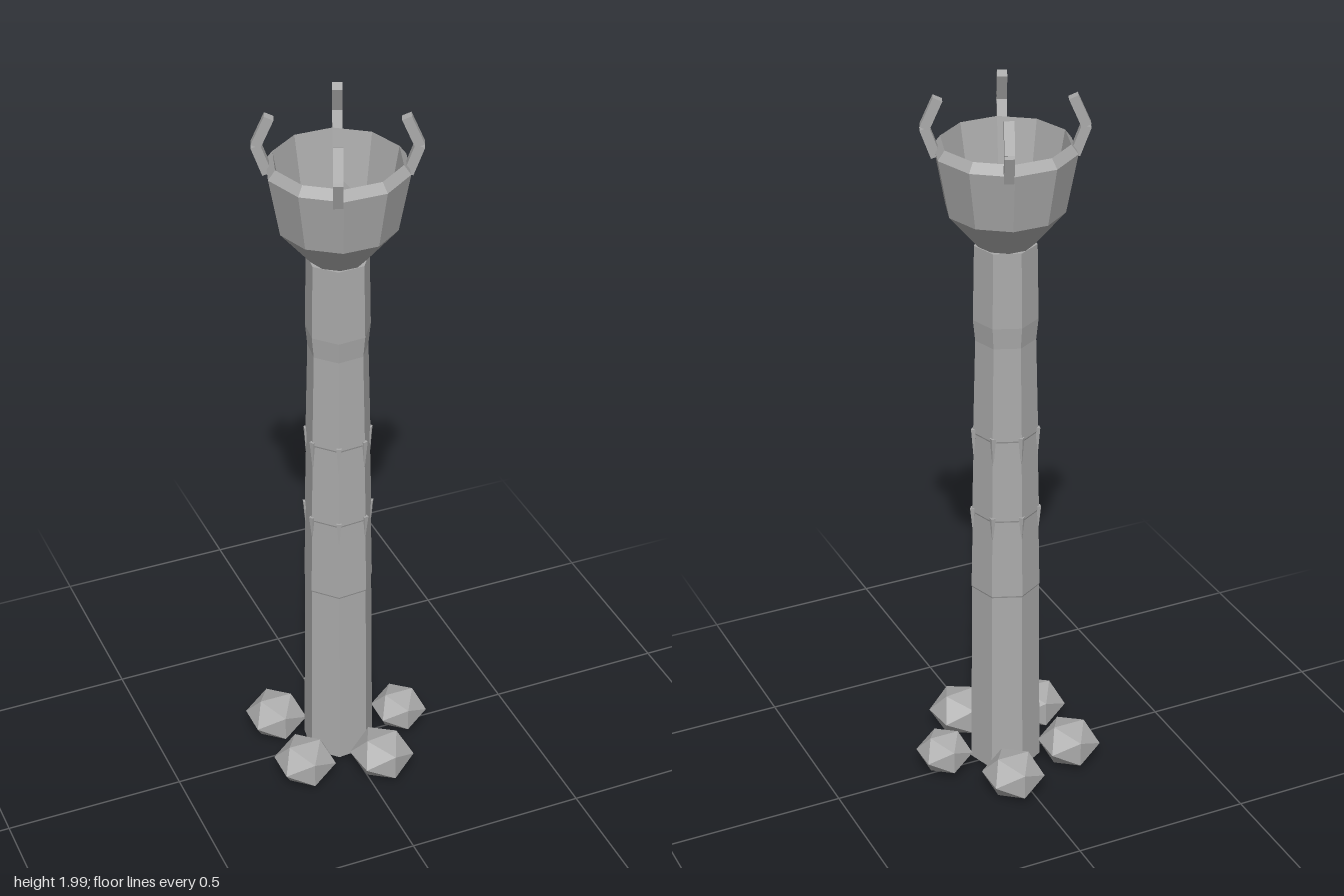
import * as THREE from 'three';

const CX = -0.012; // axis of the tower

// Faceted solid of revolution from [radius, height] points
function turned(points, sides, start) {
  const profile = points.map(([r, y]) => new THREE.Vector2(r, y));
  return new THREE.LatheGeometry(profile, sides, start).toNonIndexed();
}

// Square bar between two points
function bar(a, b, width) {
  const length = a.distanceTo(b);
  const g = new THREE.BoxGeometry(width, length, width);
  const up = new THREE.Vector3(0, 1, 0);
  g.applyQuaternion(new THREE.Quaternion().setFromUnitVectors(up, b.clone().sub(a).normalize()));
  const mid = a.clone().add(b).multiplyScalar(0.5);
  return g.translate(mid.x, mid.y, mid.z);
}

export function createModel() {
  const model = new THREE.Group();
  const stone = new THREE.MeshStandardMaterial({ color: 0xaaaaaa, flatShading: true });
  stone.name = 'stone';

  const add = (name, geometry, parent = model) => {
    geometry.computeVertexNormals();
    const mesh = new THREE.Mesh(geometry, stone);
    mesh.name = name;
    parent.add(mesh);
    return mesh;
  };

  const tower = new THREE.Group();
  tower.name = 'tower';
  tower.position.x = CX;
  model.add(tower);

  // Seven-sided shaft with slight steps between courses
  const sides = 7, phase = Math.PI / 6;
  add('shaft', turned([
    [0, 0.02], [0.1, 0.02], [0.094, 0.58], [0.096, 0.585], [0.091, 0.815], [0.093, 0.82],
    [0.087, 1.055], [0.089, 1.06], [0.082, 1.33], [0.088, 1.39], [0.084, 1.6], [0, 1.6],
  ], sides, phase), tower);

  // Thin drips hanging from two courses at the shaft corners
  for (const [y, r, length] of [[1.07, 0.09, 0.1], [0.83, 0.094, 0.08]]) {
    for (let i = 0; i < sides; i++) {
      const a = phase + (i / sides) * Math.PI * 2;
      const drip = add('drip', new THREE.ConeGeometry(0.009, length, 4), tower);
      drip.rotation.set(Math.PI, a, 0);
      drip.position.set(Math.sin(a) * (r - 0.003), y - length / 2, Math.cos(a) * (r - 0.003));
    }
  }

  // Ten-sided fire bowl with bevelled lip and hollow inside
  add('bowl', turned([
    [0, 1.6], [0.076, 1.6], [0.157, 1.695], [0.187, 1.855], [0.168, 1.88],
    [0.138, 1.71], [0, 1.66],
  ], 10, Math.PI / 2), tower);

  // Pointed coals in the bowl
  for (const [x, z] of [[-0.065, -0.048], [0.022, -0.062], [0.062, 0.002], [-0.074, 0.04], [0.007, 0.072]]) {
    const coal = add('coal', new THREE.OctahedronGeometry(0.046));
    coal.position.set(x, 1.73, z);
    coal.scale.y = 1.2;
  }

  // Four bent prongs around the lip
  for (let i = 0; i < 4; i++) {
    const prong = new THREE.Group();
    prong.name = 'prong';
    prong.rotation.y = -Math.PI / 8 - (i * Math.PI) / 2;
    tower.add(prong);
    const foot = new THREE.Vector3(0.176, 1.842, 0);
    const elbow = new THREE.Vector3(0.204, 1.918, 0);
    const tip = new THREE.Vector3(0.17, 1.995, 0);
    add('prongBase', bar(foot, elbow, 0.026), prong);
    add('prongTip', bar(elbow, tip, 0.026), prong);
  }

  // Five squashed boulders around the foot
  const rocks = [
    [0.175, 0.004, 0.08, 0], [0.048, 0.173, 0.09, 0.12], [-0.164, 0.118, 0.088, 0],
    [-0.164, -0.103, 0.088, 0], [0.046, -0.177, 0.088, 0],
  ];
  for (const [x, z, r, turn] of rocks) {
    const rock = add('boulder', new THREE.IcosahedronGeometry(r));
    rock.position.set(x, 0.068, z);
    rock.scale.y = 0.8;
    rock.rotation.y = turn;
  }

  // Rest on the ground
  const base = new THREE.Box3().setFromObject(model, true).min.y;
  for (const part of model.children) part.position.y -= base;
  return model;
}
